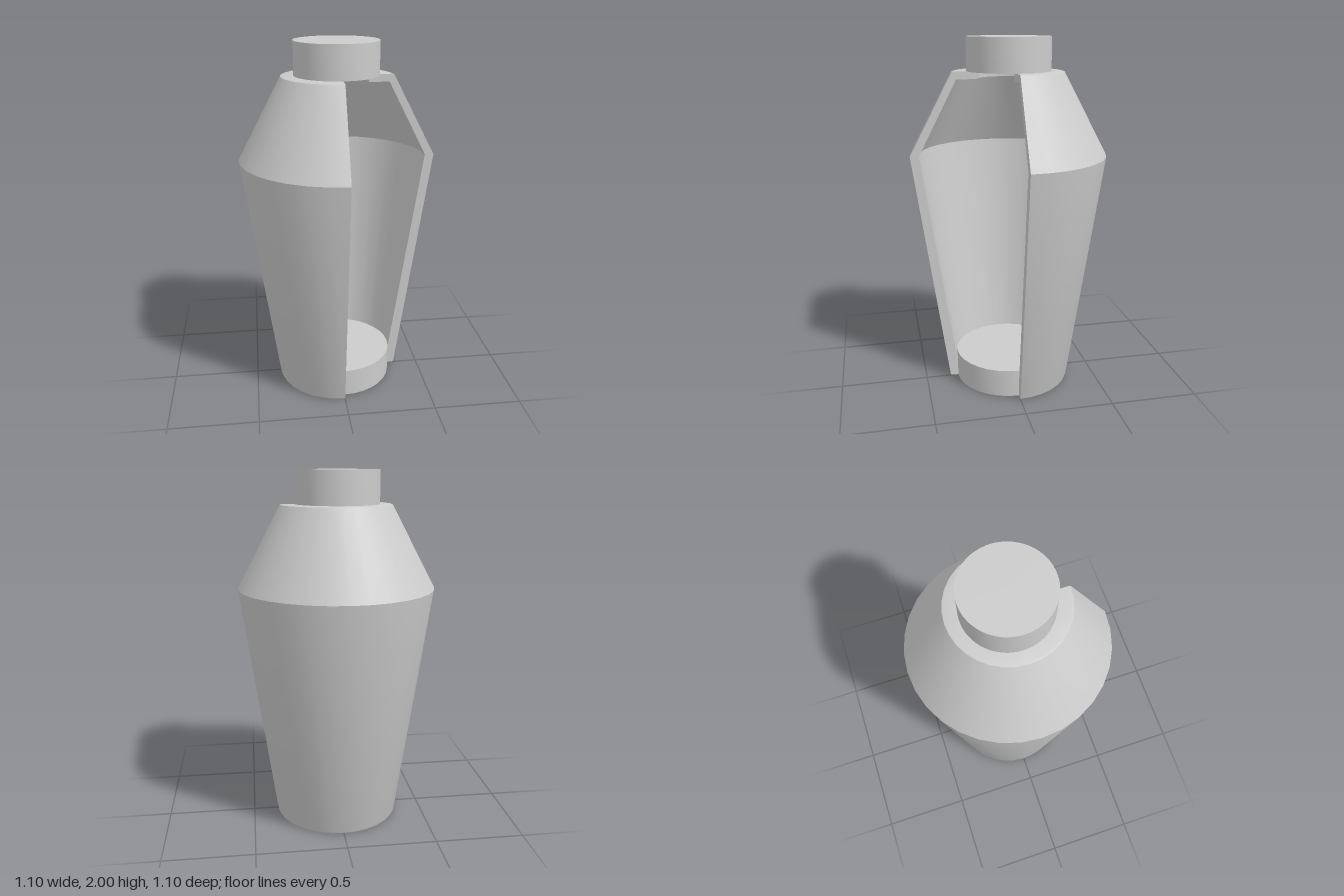
import * as THREE from 'three';
import { toCreasedNormals } from 'three/addons/utils/BufferGeometryUtils.js';

const material = new THREE.MeshStandardMaterial({ color: 0xcccccc, side: THREE.DoubleSide });

function part(name, geometry) {
  const mesh = new THREE.Mesh(geometry, material);
  mesh.name = name;
  return mesh;
}

// Turns a list of [radius, height] pairs around the y axis, keeping hard edges.
function turned(profile, segments, start = 0, sweep = Math.PI * 2) {
  const points = profile.map(([r, y]) => new THREE.Vector2(r, y));
  return toCreasedNormals(new THREE.LatheGeometry(points, segments, start, sweep), 0.6);
}

export function createModel() {
  const model = new THREE.Group();
  model.name = 'cutawayBottle';

  // Closed wall section: up the outside, down the inside
  const wall = [
    [0.345, 0], [0.353, 0.003], [0.357, 0.012],
    [0.55, 1.36],
    [0.314, 1.806], [0.309, 1.814], [0.3, 1.817],
    [0.17, 1.817], [0.17, 1.775], [0.285, 1.775],
    [0.5, 1.36], [0.3, 0],
  ];

  // Three quarters of the shell, open toward the front left
  const shell = new THREE.Group();
  shell.name = 'shell';
  shell.add(part('shellWall', turned([...wall, wall[0]], 24, Math.PI / 2, Math.PI * 1.5)));

  // Flat faces where the quarter is cut away
  const cutFace = (side) => new THREE.ShapeGeometry(
    new THREE.Shape(wall.map(([r, y]) => new THREE.Vector2(side * r, y))));
  shell.add(part('sideCutFace', cutFace(1)));
  shell.add(part('frontCutFace', cutFace(-1).rotateY(Math.PI / 2)));
  model.add(shell);

  // Base plug, hollow from below
  model.add(part('basePlug', turned([
    [0, 0.145], [0.29, 0.145], [0.29, 0], [0.31, 0], [0.31, 0.16], [0, 0.16],
  ].map((p) => p), 32)));

  // Cap resting on the neck opening
  const cap = part('cap', turned([
    [0, 1.817], [0.233, 1.817], [0.233, 2], [0, 2],
  ], 64));
  cap.position.set(-0.006, 0, -0.006);
  model.add(cap);

  return model;
}
